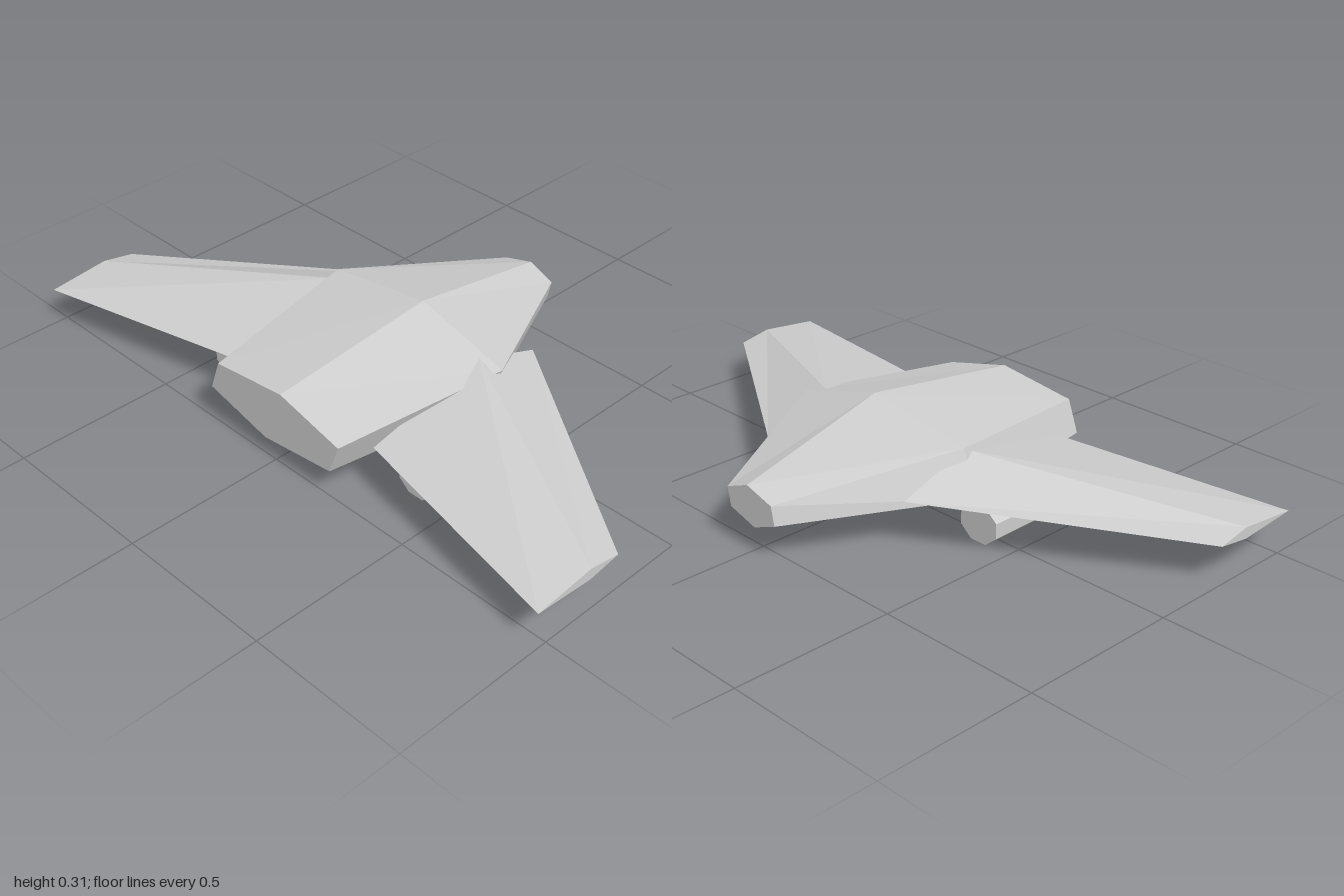
import * as THREE from 'three';

// Skins a list of matching cross-sections and closes both ends
function loft(sections, flip = false) {
  const pos = [];
  const tri = (a, b, c) => pos.push(...a, ...(flip ? c : b), ...(flip ? b : c));
  const n = sections[0].length;
  for (let s = 0; s < sections.length - 1; s++) {
    const p = sections[s], q = sections[s + 1];
    for (let i = 0; i < n; i++) {
      const j = (i + 1) % n;
      tri(p[i], p[j], q[j]);
      tri(p[i], q[j], q[i]);
    }
  }
  const first = sections[0], last = sections[sections.length - 1];
  for (let i = 1; i < n - 1; i++) {
    tri(first[0], first[i + 1], first[i]);
    tri(last[0], last[i], last[i + 1]);
  }
  const g = new THREE.BufferGeometry();
  g.setAttribute('position', new THREE.Float32BufferAttribute(pos, 3));
  g.computeVertexNormals();
  return g;
}

// Skewed hexagon, the same after a half turn about (0, cy)
function hexagon(z, cy, half) {
  return [
    ...half.map(([x, y]) => [x, cy + y, z]),
    ...half.map(([x, y]) => [-x, cy - y, z]),
  ];
}

export function createModel() {
  const group = new THREE.Group();
  const hull = new THREE.MeshStandardMaterial({ color: 0xcccccc, flatShading: true });
  hull.name = 'hull grey';
  const add = (name, geometry) => {
    const mesh = new THREE.Mesh(geometry, hull);
    mesh.name = name;
    group.add(mesh);
    return mesh;
  };

  // Body: narrow tail, wide middle, blunt nose
  add('fuselage', loft([
    hexagon(-0.54, 0.14, [[0.1, 0.025], [0.013, 0.06], [-0.087, 0.032]]),
    hexagon(-0.03, 0.17, [[0.36, 0.053], [0.05, 0.14], [-0.31, 0.085]]),
    hexagon(0.505, 0.155, [[0.265, 0.036], [0.037, 0.093], [-0.228, 0.062]]),
  ]));

  // Wing sections as [y, z]: top, +z edge, bottom, -z edge
  const root = [[0.24, -0.01], [0.15, 0.4], [0.095, 0.05], [0.155, -0.24]];
  const tip = [[0.14, 0.34], [0.12, 0.535], [0.105, 0.34], [0.12, 0.235]];

  for (const side of [1, -1]) {
    const label = side > 0 ? 'left' : 'right';
    const at = (x, sec) => sec.map(([y, z]) => [side * x, y, z]);
    add(label + 'Wing', loft([at(0.29, root), at(1, tip)], side < 0));

    // Octagonal engine pod, slightly flattened, flat faces down and sideways
    const pod = new THREE.CylinderGeometry(0.067, 0.0725, 0.39, 8, 1, false, Math.PI / 8);
    pod.rotateX(Math.PI / 2);
    pod.scale(1, 0.84, 1);
    add(label + 'Engine', pod).position.set(side * 0.39, 0.058, 0.145);
  }
  return group;
}
